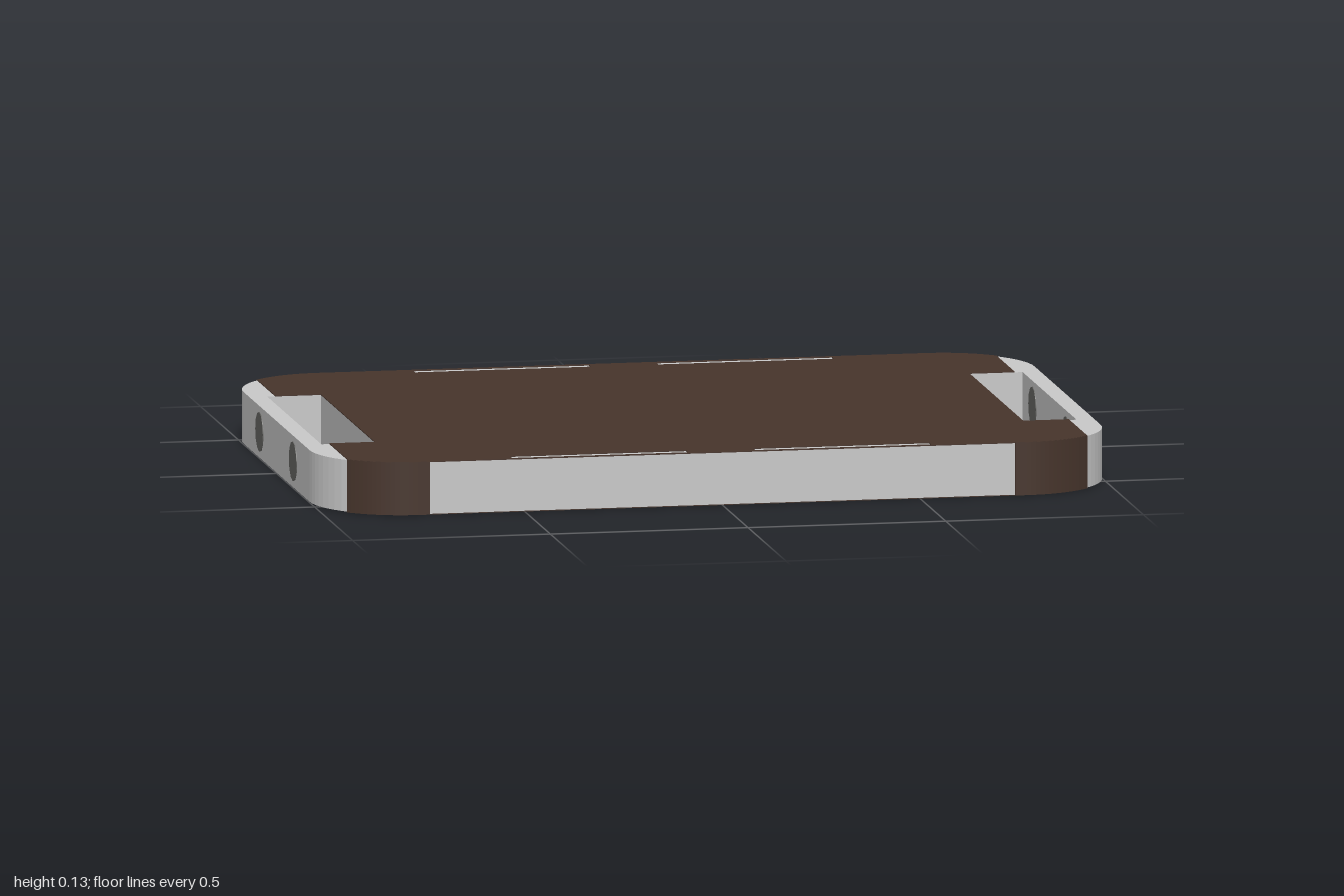
import * as THREE from 'three';

const W = 1, D = 0.664, H = 0.134, R = 0.23;   // half width, half depth, height, corner radius
const SKIN = 0.002;                            // thickness of the brown covering
const CUT = 0.935;                             // where the covering stops at each end
const SLOT = { x0: 0.82, x1: 0.955, z: 0.355 };
const A0 = Math.acos((CUT - (W - R)) / R);     // corner angle at the covering's end

const silver = new THREE.MeshStandardMaterial({ color: 0xc8c8c8 });
silver.name = 'silver';
const brown = new THREE.MeshStandardMaterial({ color: 0x46342b });
brown.name = 'dark brown';
const grey = new THREE.MeshStandardMaterial({ color: 0x666663 });
grey.name = 'bolt grey';

const v = (x, z) => new THREE.Vector2(x, z);

// Points along the front left corner, from angle a to angle b
function arc(a, b, r, n = 16) {
  return Array.from({ length: n + 1 }, (_, i) => {
    const t = a + (b - a) * i / n;
    return v(W - R + r * Math.cos(t), D - R + r * Math.sin(t));
  });
}

// Repeats a quarter outline around all four corners
function fourFold(q) {
  const flip = (pts, sx, sz) => pts.map(p => v(p.x * sx, p.y * sz));
  const rev = [...q].reverse();
  return [...q, ...flip(rev, -1, 1), ...flip(q, -1, -1), ...flip(rev, 1, -1)];
}

// Extrudes a plan outline upward from y
function slab(name, pts, holes, y, height, material) {
  const shape = new THREE.Shape(pts);
  holes.forEach(h => shape.holes.push(new THREE.Path(h)));
  const geo = new THREE.ExtrudeGeometry(shape, { depth: height, bevelEnabled: false });
  geo.rotateX(-Math.PI / 2).translate(0, y, 0);
  const mesh = new THREE.Mesh(geo, material);
  mesh.name = name;
  return mesh;
}

const rect = (x0, x1, z0, z1) => [v(x0, z0), v(x1, z0), v(x1, z1), v(x0, z1)];

export function createModel() {
  const model = new THREE.Group();
  model.name = 'tray';

  // Silver body with a hand slot at each end
  const slots = [
    rect(SLOT.x0, SLOT.x1, -SLOT.z, SLOT.z),
    rect(-SLOT.x1, -SLOT.x0, -SLOT.z, SLOT.z),
  ];
  model.add(slab('body', fourFold(arc(0, Math.PI / 2, R)), slots, SKIN, H - 2 * SKIN, silver));

  // Brown covering above and below, notched at the slots and open over the edge strips
  const cover = fourFold([
    v(SLOT.x0, SLOT.z), v(CUT, SLOT.z), ...arc(A0, Math.PI / 2, R),
  ]);
  const strips = [];
  for (const sx of [-1, 1]) for (const sz of [-1, 1]) {
    strips.push(rect(sx * 0.085, sx * 0.53, sz * 0.625, sz * 0.652));
  }
  model.add(slab('topCover', cover, strips, H - SKIN, SKIN, brown));
  model.add(slab('bottomCover', cover, strips, 0, SKIN, brown));

  // Brown corner wraps
  const wrap = [
    ...arc(A0, Math.PI / 2, R + SKIN), v(0.74, D + SKIN),
    v(0.74, D - SKIN), ...arc(Math.PI / 2, A0, R - SKIN),
  ];
  for (const sx of [-1, 1]) for (const sz of [-1, 1]) {
    const pts = wrap.map(p => v(p.x * sx, p.y * sz));
    model.add(slab('cornerWrap', pts, [], 0.0005, H - 0.001, brown));
  }

  // Bolts passing through both handle bars
  const boltGeo = new THREE.CylinderGeometry(0.05, 0.05, W - SLOT.x1 + 0.004, 12);
  boltGeo.rotateZ(Math.PI / 2);
  for (const sx of [-1, 1]) for (const sz of [-1, 1]) {
    const bolt = new THREE.Mesh(boltGeo, grey);
    bolt.name = 'handleBolt';
    bolt.position.set(sx * (W + SLOT.x1) / 2, H / 2 + 0.001, sz * 0.221);
    model.add(bolt);
  }
  return model;
}
